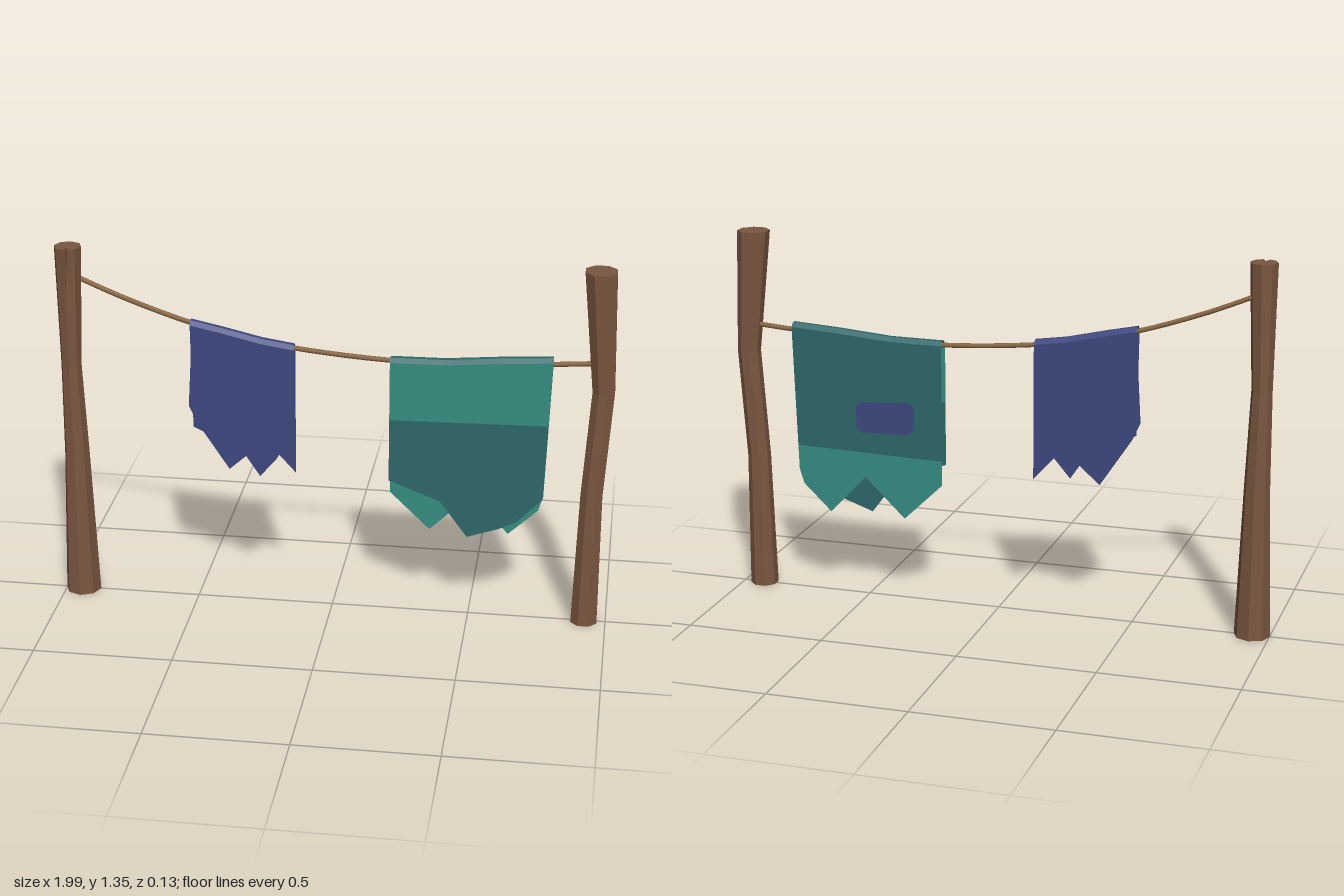
import * as THREE from 'three';

const material = (name, color) => {
  const m = new THREE.MeshStandardMaterial({ color });
  m.name = name;
  return m;
};

// Faceted solid lofted through rings of points, closed by fans at both ends
function loft(rings, centres) {
  const n = rings[0].length, top = rings.length - 1, pos = [];
  const tri = (...pts) => pts.forEach(p => pos.push(...p));
  for (let j = 0; j < n; j++) {
    const k = (j + 1) % n;
    for (let i = 0; i < top; i++) {
      const a = rings[i][j], b = rings[i][k], c = rings[i + 1][k], d = rings[i + 1][j];
      tri(a, b, c);
      tri(a, c, d);
    }
    tri(centres[0], rings[0][k], rings[0][j]);
    tri(centres[top], rings[top][j], rings[top][k]);
  }
  const g = new THREE.BufferGeometry();
  g.setAttribute('position', new THREE.Float32BufferAttribute(pos, 3));
  g.computeVertexNormals();
  return g;
}

// Eight-sided post; each level is [y, centreX, centreZ, radius, crackOpening]
function postGeometry(levels, cracked) {
  const rings = levels.map(([y, cx, cz, r, open = 0]) => {
    const ring = [];
    const add = (a, s) => ring.push([cx + r * s * Math.sin(a), y, cz + r * s * Math.cos(a)]);
    if (cracked) {
      const spread = 0.01 + 0.22 * open;
      add(-spread, 1);
      add(0, 1 - 0.6 * open);
      add(spread, 1);
      for (let i = 1; i < 8; i++) add(i * Math.PI / 4, 1);
    } else {
      for (let i = 0; i < 8; i++) add((i + 0.5) * Math.PI / 4, 1);
    }
    return ring;
  });
  return loft(rings, levels.map(([y, cx, cz]) => [cx, y, cz]));
}

// Flat cloth sheet from an outline, facing front or back
function sheetGeometry(points, z, back) {
  const shape = new THREE.Shape(points.map(([x, y]) => new THREE.Vector2(back ? -x : x, y)));
  const g = new THREE.ShapeGeometry(shape);
  if (back) g.rotateY(Math.PI);
  return g.translate(0, 0, z);
}

// Narrow folded strip joining the front and back sheets over the rope
function foldGeometry(ridge, zFront, zBack) {
  const mid = (zFront + zBack) / 2;
  const section = [[zFront, -0.015], [mid + 0.009, 0], [mid - 0.009, 0], [zBack, -0.015]];
  const pos = [];
  for (let i = 0; i < ridge.length - 1; i++) {
    for (let j = 0; j < 3; j++) {
      const p = (r, s) => [r[0], r[1] + s[1], s[0]];
      const a = p(ridge[i], section[j]), b = p(ridge[i + 1], section[j]);
      const c = p(ridge[i + 1], section[j + 1]), d = p(ridge[i], section[j + 1]);
      pos.push(...a, ...b, ...c, ...a, ...c, ...d);
    }
  }
  const g = new THREE.BufferGeometry();
  g.setAttribute('position', new THREE.Float32BufferAttribute(pos, 3));
  g.computeVertexNormals();
  return g;
}

export function createModel() {
  const wood = material('wood', 0x7a5640);
  const ropeTan = material('ropeTan', 0x8c6b47);
  const blue = material('blueCloth', 0x3d477f);
  const teal = material('tealCloth', 0x358d82);
  const darkTeal = material('darkTealCloth', 0x2d676a);
  [blue, teal, darkTeal].forEach(m => { m.side = THREE.DoubleSide; });

  const model = new THREE.Group();
  model.name = 'clothLine';
  const add = (parent, name, geometry, mat) => {
    const mesh = new THREE.Mesh(geometry, mat);
    mesh.name = name;
    parent.add(mesh);
  };

  // Posts, the right one split at its top
  add(model, 'rightPost', postGeometry([
    [0, -0.937, 0, 0.065], [0.55, -0.938, 0, 0.046], [0.9, -0.944, 0, 0.037],
    [1.2, -0.94, 0, 0.045], [1.345, -0.938, 0, 0.049, 1],
  ], true), wood);
  add(model, 'leftPost', postGeometry([
    [0, 0.922, 0, 0.051], [0.5, 0.928, 0, 0.042],
    [0.9, 0.953, -0.006, 0.042], [1.345, 0.925, 0, 0.059],
  ], false), wood);

  // Sagging rope
  const ropePath = new THREE.CatmullRomCurve3([
    [-0.94, 1.24], [-0.75, 1.16], [-0.51, 1.078], [-0.3, 1.027], [-0.13, 1.0],
    [0.2, 0.974], [0.5, 0.977], [0.77, 0.99], [0.94, 1.003],
  ].map(([x, y]) => new THREE.Vector3(x, y, -0.01)));
  add(model, 'rope', new THREE.TubeGeometry(ropePath, 28, 0.009, 6), ropeTan);

  // Top edge of a sheet, just under the ridge, running right to left
  const hem = ridge => ridge.map(([x, y]) => [x, y - 0.015]).reverse();

  // Small blue cloth
  const blueCloth = new THREE.Group();
  blueCloth.name = 'blueHanging';
  model.add(blueCloth);
  const blueRidge = [[-0.505, 1.092], [-0.4, 1.07], [-0.25, 1.035], [-0.136, 1.018]];
  add(blueCloth, 'blueFold', foldGeometry(blueRidge, 0.02, -0.025), blue);
  add(blueCloth, 'blueFront', sheetGeometry([
    [-0.5, 0.69], [-0.32, 0.6], [-0.26, 0.51], [-0.2, 0.58], [-0.136, 0.7], ...hem(blueRidge),
  ], 0.02, false), blue);
  add(blueCloth, 'blueBack', sheetGeometry([
    [-0.525, 0.75], [-0.495, 0.685], [-0.38, 0.51], [-0.28, 0.6], [-0.235, 0.62],
    [-0.136, 0.51], ...hem(blueRidge),
  ], -0.025, true), blue);

  // Large teal cloth, two tones on each side
  const tealCloth = new THREE.Group();
  tealCloth.name = 'tealHanging';
  model.add(tealCloth);
  const tealRidge = [[0.205, 0.988], [0.4, 0.99], [0.6, 1.007], [0.775, 1.018]];
  add(tealCloth, 'tealFold', foldGeometry(tealRidge, 0.015, -0.03), darkTeal);
  add(tealCloth, 'frontUpperBand', sheetGeometry(
    [[0.205, 0.755], [0.767, 0.765], ...hem(tealRidge)], 0.015, false), teal);
  add(tealCloth, 'frontLowerBand', sheetGeometry([
    [0.205, 0.52], [0.39, 0.45], [0.49, 0.315], [0.605, 0.355], [0.665, 0.385],
    [0.757, 0.48], [0.767, 0.765], [0.205, 0.755],
  ], 0.015, false), darkTeal);
  add(tealCloth, 'backUpperBand', sheetGeometry(
    [[0.205, 0.545], [0.76, 0.56], ...hem(tealRidge)], -0.03, true), darkTeal);
  add(tealCloth, 'backLowerBand', sheetGeometry([
    [0.205, 0.455], [0.35, 0.315], [0.5, 0.46], [0.635, 0.315], [0.74, 0.415],
    [0.757, 0.47], [0.76, 0.56], [0.205, 0.545],
  ], -0.03, true), teal);

  // Sewn patch with clipped corners
  add(tealCloth, 'patch', sheetGeometry([
    [0.33, 0.635], [0.51, 0.63], [0.53, 0.645], [0.53, 0.73], [0.51, 0.745],
    [0.33, 0.755], [0.31, 0.74], [0.31, 0.655],
  ], -0.034, true), blue);

  return model;
}
